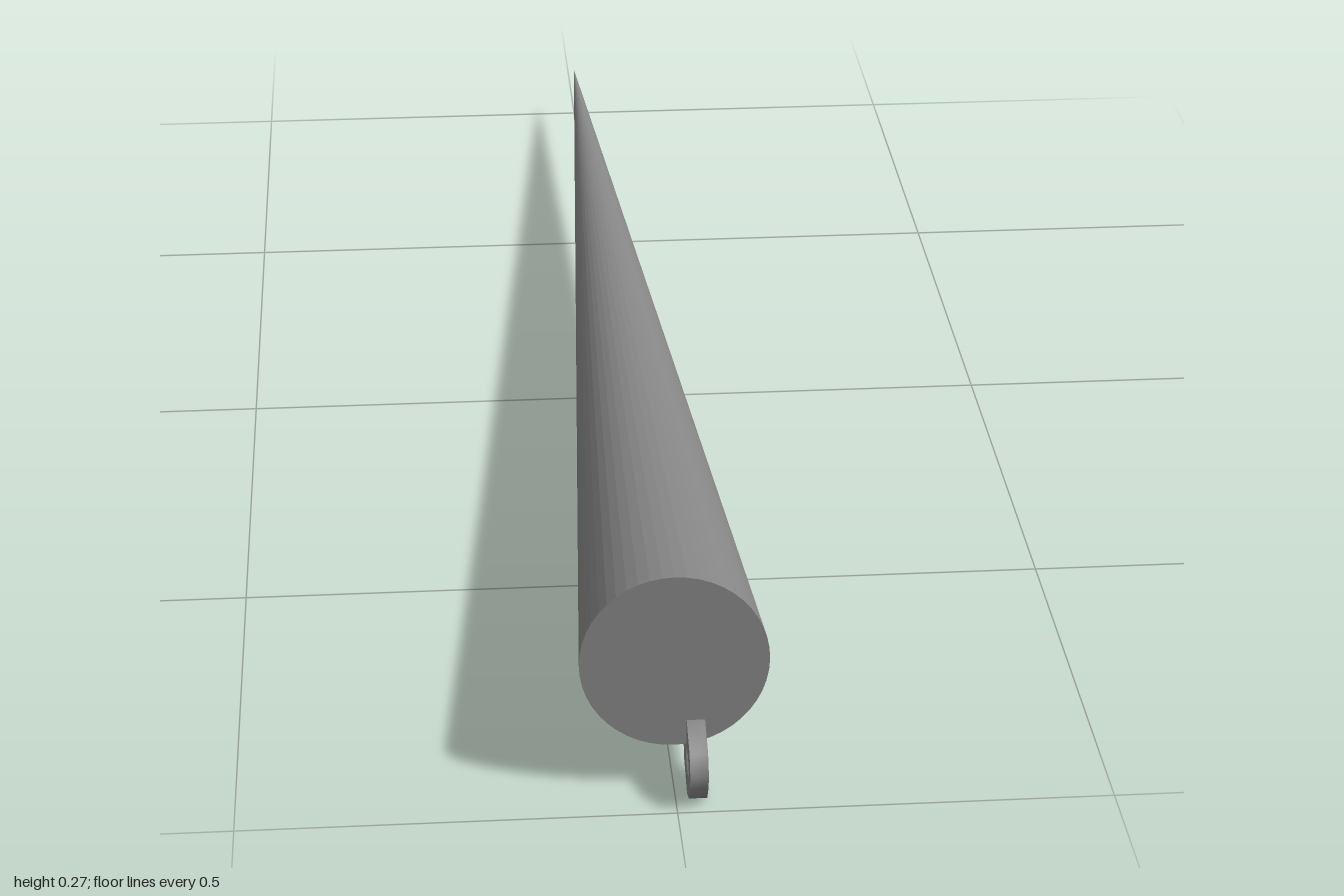
import * as THREE from 'three';
import { toCreasedNormals } from 'three/addons/utils/BufferGeometryUtils.js';

export function createModel() {
  const group = new THREE.Group();
  const color = 0x868686;

  // Long tapering spike, closed at the base and tilted slightly down to its tip
  const base = new THREE.Vector3(0, 0.166, 0.944);
  const tip = new THREE.Vector3(0, 0.078, -1);
  const axis = tip.clone().sub(base);
  const spike = new THREE.Mesh(
    new THREE.ConeGeometry(0.108, axis.length(), 48),
    new THREE.MeshStandardMaterial({ color, flatShading: true }),
  );
  spike.name = 'spike';
  spike.position.copy(base).add(tip).multiplyScalar(0.5);
  spike.rotation.x = -Math.PI / 2 + Math.atan2(axis.y, -axis.z);
  group.add(spike);

  // Hanging eye at the lower rim, outlined in (z, y)
  const outline = new THREE.Shape([
    [1.0, 0.047], [0.987, 0.07], [0.948, 0.09], [0.925, 0.085], [0.908, 0.056],
    [0.92, 0.022], [0.962, 0.0], [0.984, 0.008], [0.997, 0.03],
  ].map(([z, y]) => new THREE.Vector2(z, y)));
  const hole = new THREE.Path();
  const [holeZ, holeY] = [0.96, 0.045];
  hole.absellipse(holeZ, holeY, 0.022, 0.012, 0, Math.PI * 2, true, Math.PI - 0.5);
  outline.holes.push(hole);
  const depth = 0.021;
  const eyeGeometry = new THREE.ExtrudeGeometry(outline, {
    depth, steps: 2, bevelEnabled: false, curveSegments: 8,
  });

  // Narrow the hole halfway through, so it flares towards both sides
  const p = eyeGeometry.attributes.position;
  for (let i = 0; i < p.count; i++) {
    const dz = p.getX(i) - holeZ, dy = p.getY(i) - holeY;
    if (Math.abs(p.getZ(i) - depth / 2) < 0.001 && Math.hypot(dz, dy) < 0.025) {
      p.setXY(i, holeZ + dz * 0.5, holeY + dy * 0.5);
    }
  }
  eyeGeometry.rotateY(-Math.PI / 2).translate(0.035, 0, 0);
  const eye = new THREE.Mesh(
    toCreasedNormals(eyeGeometry, 0.9),
    new THREE.MeshStandardMaterial({ color }),
  );
  eye.name = 'hangingEye';
  group.add(eye);

  return group;
}
